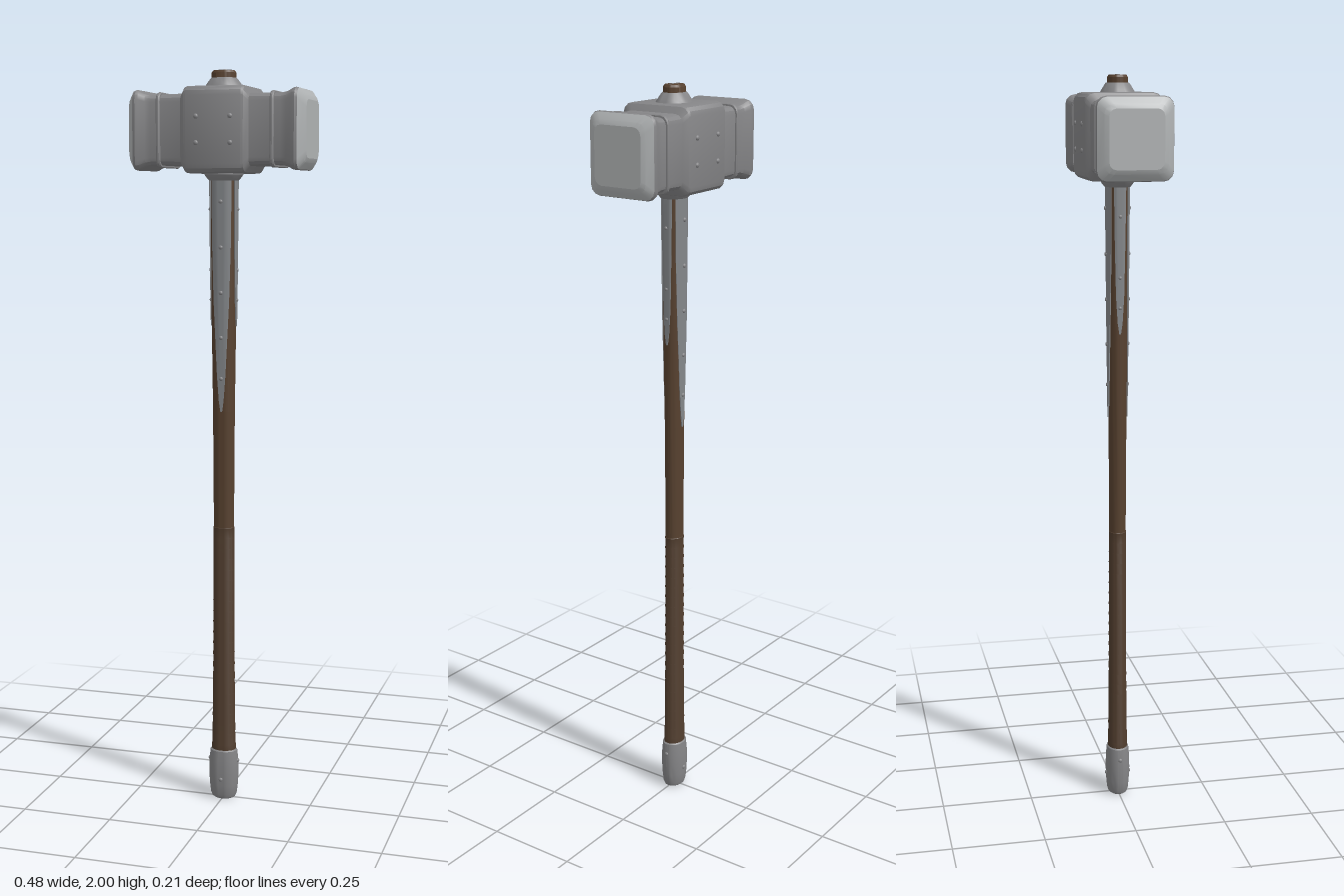
import * as THREE from 'three';
import { toCreasedNormals } from 'three/addons/utils/BufferGeometryUtils.js';

const mat = (name, color) => Object.assign(new THREE.MeshStandardMaterial({ color }), { name });
const HEAD_Y = 1.844;
const FLAT = 0.8; // handle depth relative to its width

// Shaft profile as [half width, height]
const SHAFT = [[0.034, 0.1], [0.031, 0.2], [0.029, 0.4], [0.028, 0.78], [0.03, 1.1], [0.034, 1.4], [0.037, 1.7], [0.037, 1.78], [0.033, 1.9], [0.033, 1.992]];
function shaftRadius(y) {
  const i = SHAFT.findIndex(p => p[1] >= y);
  const [r0, y0] = SHAFT[i - 1], [r1, y1] = SHAFT[i];
  return r0 + (r1 - r0) * (y - y0) / (y1 - y0);
}

// Skin a list of equal-length rings, closing both ends
function loft(rings, crease = 0.5) {
  const n = rings[0].length, idx = [];
  for (let r = 0; r < rings.length - 1; r++) {
    for (let i = 0; i < n; i++) {
      const a = r * n + i, b = r * n + (i + 1) % n;
      idx.push(a, b, a + n, b, b + n, a + n);
    }
  }
  const last = (rings.length - 1) * n;
  for (let i = 1; i < n - 1; i++) idx.push(0, i + 1, i, last, last + i, last + i + 1);
  const g = new THREE.BufferGeometry();
  g.setAttribute('position', new THREE.Float32BufferAttribute(rings.flat(2), 3));
  g.setIndex(idx);
  return toCreasedNormals(g, crease);
}

// Rounded rectangle ring across the head at position x
function headRing(x, hy, hz, c) {
  const pts = [];
  [[1, 1], [-1, 1], [-1, -1], [1, -1]].forEach(([sy, sz], k) => {
    for (let j = 0; j <= 3; j++) {
      const a = k * Math.PI / 2 + j * Math.PI / 6;
      pts.push([x, sy * (hy - c) + c * Math.cos(a), sz * (hz - c) + c * Math.sin(a)]);
    }
  });
  return pts;
}

// Turned part, flattened to the oval of the handle
function turned(profile, flat = FLAT) {
  const g = new THREE.LatheGeometry(profile.map(([r, y]) => new THREE.Vector2(r, y)), 28);
  g.scale(1, 1, flat);
  return toCreasedNormals(g, 0.5);
}

// Tapering plate that hugs the shaft; widths are [y, half width]
function strap(angle, widths) {
  const rings = widths.map(([y, w]) => {
    const r = shaftRadius(y), rz = r * FLAT;
    const local = Math.abs(Math.sin(angle)) > 0.5 ? rz : r;
    const half = Math.asin(w / local);
    const ring = [];
    for (let i = 0; i <= 8; i++) {
      const a = angle - half + half * i / 4;
      ring.push([Math.sin(a) * (r + 0.003), y, Math.cos(a) * (rz + 0.003)]);
    }
    for (let i = 8; i >= 0; i--) {
      const a = angle - half + half * i / 4;
      ring.push([Math.sin(a) * (r - 0.003), y, Math.cos(a) * (rz - 0.003)]);
    }
    return ring;
  });
  return loft(rings);
}

export function createModel() {
  const model = new THREE.Group();
  model.name = 'warHammer';
  const steel = mat('steel', 0x858587);
  const polished = mat('polishedSteel', 0xb0b3b4);
  const plate = mat('strapSteel', 0x84878a);
  const wood = mat('wood', 0x57412f);
  const leather = mat('leather', 0x4f3c2d);
  const add = (name, geometry, material, parent = model) => {
    const m = new THREE.Mesh(geometry, material);
    m.name = name;
    parent.add(m);
    return m;
  };

  // Hammer head
  const head = new THREE.Group();
  head.name = 'head';
  head.position.y = HEAD_Y;
  model.add(head);
  const mirror = rings => rings.map(([x, ...s]) => [-x, ...s]).reverse();
  const half = [
    [0.074, 0.111, 0.102, 0.024], [0.08, 0.109, 0.1, 0.024], [0.092, 0.093, 0.089, 0.022], [0.135, 0.091, 0.087, 0.02],
    [0.175, 0.091, 0.087, 0.02], [0.19, 0.094, 0.089, 0.021], [0.206, 0.102, 0.097, 0.024],
    [0.214, 0.104, 0.099, 0.026], [0.221, 0.102, 0.097, 0.026],
  ];
  add('hammerBlock', loft([...mirror(half), ...half].map(s => headRing(...s))), steel, head);

  // Polished striking faces with bevelled rims
  const face = [[0.221, 0.102, 0.097, 0.026], [0.235, 0.085, 0.081, 0.024], [0.24, 0.074, 0.07, 0.02]];
  for (const rings of [face, mirror(face)]) {
    add('strikingFace', loft(rings.map(s => headRing(...s)), 0.3), polished, head);
  }

  // Raised bands around each arm of the head
  for (const s of [-1, 1]) {
    const band = [[-0.006, 0.088], [-0.005, 0.095], [-0.002, 0.097], [0.002, 0.097], [0.005, 0.095], [0.006, 0.088]];
    add('headBand', loft(band.map(([x, h]) => headRing(s * 0.153 + x, h, h - 0.004, 0.022))), steel, head);
  }

  // Collars where the shaft passes through the head
  add('topCollar', turned([[0.052, 1.945], [0.052, 1.955], [0.048, 1.961], [0.037, 1.976], [0.034, 1.979], [0.03, 1.979]], 0.86), steel);
  add('bottomCollar', turned([[0.034, 1.715], [0.04, 1.715], [0.048, 1.724], [0.052, 1.73], [0.052, 1.745]], 0.86), steel);

  // Wooden shaft with a steel wedge in its top
  add('shaft', turned([[0, 0.1], ...SHAFT, [0.029, 1.998], [0, 1.999]]), wood);
  add('wedge', new THREE.BoxGeometry(0.042, 0.008, 0.004), steel).position.y = 1.996;

  // Leather grip made of overlapping turns
  const wraps = 22, grip = [];
  for (let i = 0; i < wraps; i++) {
    const y0 = 0.13 + 0.65 * i / wraps, y1 = 0.13 + 0.65 * (i + 1) / wraps;
    grip.push([shaftRadius(y0) + 0.0008, y0], [shaftRadius(y1) + 0.0016, y1 - 0.002]);
  }
  grip.push([0.027, 0.78]);
  add('leatherGrip', turned(grip), leather);

  // Pommel cap
  add('pommelCap', turned([[0, 0], [0.027, 0], [0.033, 0.004], [0.037, 0.014], [0.04, 0.04], [0.042, 0.075],
    [0.041, 0.11], [0.038, 0.14], [0.034, 0.143], [0.028, 0.143]]), steel);

  // Straps down the four sides of the shaft
  const longStrap = [[1.1, 0.002], [1.13, 0.006], [1.2, 0.011], [1.4, 0.02], [1.55, 0.024], [1.73, 0.026]];
  const shortStrap = [[1.33, 0.002], [1.36, 0.006], [1.43, 0.01], [1.58, 0.013], [1.73, 0.015]];
  for (let k = 0; k < 4; k++) {
    add(k % 2 ? 'sideStrap' : 'longStrap', strap(k * Math.PI / 2, k % 2 ? shortStrap : longStrap), plate);
  }

  // Rivets: domes pointing along the given side
  const dome = new THREE.SphereGeometry(1, 10, 4, 0, Math.PI * 2, 0, Math.PI / 2);
  dome.rotateX(Math.PI / 2);
  const rivet = (x, y, z, turn, size) => {
    const m = add('rivet', dome, steel);
    m.position.set(x, y, z);
    m.rotation.y = turn;
    m.scale.set(size, size, size * 0.8);
  };
  for (const s of [1, -1]) {
    const back = s > 0 ? 0 : Math.PI;
    for (const x of [-0.046, 0.046]) for (const y of [1.81, 1.877]) rivet(x, y, s * 0.101, back, 0.007);
    for (const y of [1.66, 1.54, 1.42, 1.3, 1.19]) rivet(0, y, s * (shaftRadius(y) * FLAT + 0.002), back, 0.006);
    for (const y of [1.64, 1.48, 1.4]) rivet(s * (shaftRadius(y) + 0.002), y, 0, s * Math.PI / 2, 0.005);
    rivet(0, 0.06, s * 0.032, back, 0.006);
    rivet(s * 0.04, 0.11, 0, s * Math.PI / 2, 0.006);
  }
  return model;
}
